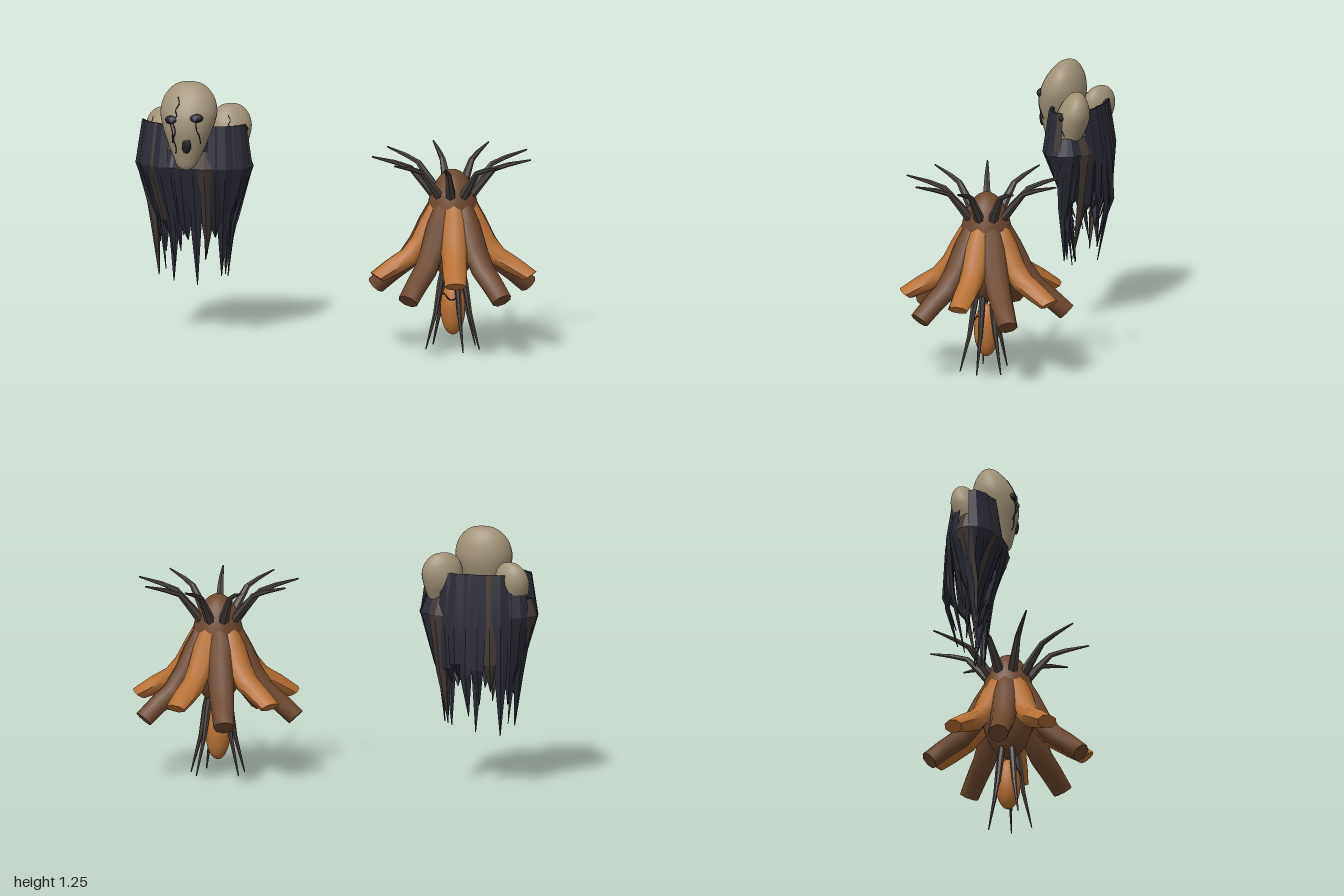
import * as THREE from 'three';
import { mergeVertices, toCreasedNormals } from 'three/addons/utils/BufferGeometryUtils.js';

const material = (name, color) => {
  const m = new THREE.MeshStandardMaterial({ color });
  m.name = name;
  return m;
};
const bone = material('bone', 0xa09278);
const navy = material('dark navy cloth', 0x292a36);
const umber = material('umber cloth', 0x423934);
const black = material('black', 0x1d1d26);
const slate = material('slate', 0x4a4c62);
const orange = material('orange', 0xb87134);
const brown = material('brown', 0x6d482f);
const thorn = material('thorn grey', 0x4b4440);

function addMesh(parent, name, geometry, mat, x = 0, y = 0, z = 0) {
  const mesh = new THREE.Mesh(geometry, mat);
  mesh.name = name;
  mesh.position.set(x, y, z);
  parent.add(mesh);
  return mesh;
}

// Tapered limb in the radial plane: rows of [radius out, height, half width, half depth],
// with an optional direction [r, y] that tilts the end face
function limb(rows, sides, crease, endDir) {
  const pos = [], index = [];
  const end = rows.length - 1;
  rows.forEach(([r, y, w, d], i) => {
    const a = rows[Math.max(i - 1, 0)], b = rows[Math.min(i + 1, end)];
    const dir = i === end && endDir ? endDir : [b[0] - a[0], b[1] - a[1]];
    const t = new THREE.Vector2(...dir).normalize();
    for (let j = 0; j < sides; j++) {
      const q = (j / sides) * Math.PI * 2;
      const c = Math.cos(q) * d;
      pos.push(r - t.y * c, y + t.x * c, Math.sin(q) * w);
    }
  });
  for (let i = 0; i < end; i++) {
    for (let j = 0; j < sides; j++) {
      const a = i * sides + j, b = i * sides + ((j + 1) % sides);
      index.push(a, b, a + sides, b, b + sides, a + sides);
    }
  }
  const last = end * sides;
  for (let j = 1; j < sides - 1; j++) {
    index.push(0, j + 1, j, last, last + j, last + j + 1);
  }
  const g = new THREE.BufferGeometry();
  g.setAttribute('position', new THREE.Float32BufferAttribute(pos, 3));
  g.setIndex(index);
  return toCreasedNormals(g, crease);
}

// Egg-shaped head, chin at y = 0, leaning back and thinning toward the crown
const H = 0.425;
const profile = new THREE.SplineCurve([
  [0, 0], [0.04, 0.015], [0.068, 0.07], [0.098, 0.14], [0.124, 0.21], [0.139, 0.28],
  [0.126, 0.345], [0.094, 0.39], [0.055, 0.416], [0, H],
].map((p) => new THREE.Vector2(...p))).getPoints(36);
profile.forEach((p) => { p.x = Math.max(p.x, 0); });
const lean = (y) => (H - y) * 0.16;
const depth = (y) => 0.88 - 1.3 * Math.max(y - 0.2, 0);

function faceZ(x, y) {
  let i = 1;
  while (i < profile.length - 1 && profile[i].y < y) i++;
  const a = profile[i - 1], b = profile[i];
  const r = THREE.MathUtils.lerp(a.x, b.x, (y - a.y) / (b.y - a.y));
  return depth(y) * Math.sqrt(Math.max(r * r - x * x, 0)) + lean(y);
}

function makeHead(name) {
  const head = new THREE.Group();
  head.name = name;
  let g = new THREE.LatheGeometry(profile, 32);
  const p = g.attributes.position;
  for (let i = 0; i < p.count; i++) p.setZ(i, p.getZ(i) * depth(p.getY(i)) + lean(p.getY(i)));
  g.deleteAttribute('uv');
  g.deleteAttribute('normal');
  g = mergeVertices(g, 1e-5);
  g.computeVertexNormals();
  addMesh(head, 'skull', g, bone);
  const ball = new THREE.SphereGeometry(1, 14, 10);
  for (const [x, y, tilt] of [[-0.054, 0.253, 0.05], [0.06, 0.265, 0.12]]) {
    const z = faceZ(x, y) - 0.01;
    const socket = addMesh(head, 'eyeSocket', ball, black, x, y, z);
    socket.scale.set(0.038, 0.022, 0.021);
    socket.rotation.z = tilt;
    addMesh(head, 'eyeball', ball, slate, x, y, z + 0.012).scale.set(0.014, 0.014, 0.012);
  }
  addMesh(head, 'mouth', new THREE.SphereGeometry(1, 7, 6), black, 0.017, 0.135, faceZ(0.017, 0.135) - 0.004)
    .scale.set(0.026, 0.042, 0.014);
  // Cracks and tear streaks lying on the face
  const cracks = [
    [[-0.035, 0.36], [-0.025, 0.33], [-0.04, 0.3], [-0.03, 0.28], [-0.045, 0.255]],
    [[-0.05, 0.24], [-0.035, 0.2], [-0.048, 0.16], [-0.036, 0.12], [-0.04, 0.09]],
    [[-0.065, 0.24], [-0.05, 0.19], [-0.055, 0.14]],
    [[0.065, 0.25], [0.068, 0.21], [0.078, 0.18], [0.08, 0.14]],
  ];
  for (const c of cracks) {
    const path = new THREE.CatmullRomCurve3(c.map(([x, y]) => new THREE.Vector3(x, y, faceZ(x, y))));
    addMesh(head, 'crack', new THREE.TubeGeometry(path, 16, 0.0028, 5), black);
  }
  return head;
}

function makeGhost() {
  const ghost = new THREE.Group();
  ghost.name = 'threeHeadedGhost';
  const heads = [
    ['mainHead', -0.72, 0.83, 0.07, 1, 0],
    ['leftHead', -0.55, 0.83, -0.04, 0.72, 0.5],
    ['rightHead', -0.88, 0.825, -0.035, 0.65, -0.45],
  ];
  for (const [name, x, y, z, s, yaw] of heads) {
    const head = makeHead(name);
    head.position.set(x, y, z);
    head.scale.setScalar(s);
    head.rotation.y = yaw;
    ghost.add(head);
  }
  // Ragged cloak of flat pointed strips hung around an oval, drawn in toward the tails
  const tips = [0.31, 0.47, 0.3, 0.52, 0.4, 0.55, 0.41, 0.29, 0.5, 0.25, 0.45, 0.35, 0.48];
  const count = 30, rx = 0.27, rz = 0.13;
  const cloak = new THREE.Group();
  cloak.name = 'cloak';
  ghost.add(cloak);
  for (let i = 0; i < count; i++) {
    const a = (i / count) * Math.PI * 2;
    const c = Math.cos(a), s = Math.sin(a);
    const back = Math.max(-s, 0), front = Math.max(s, 0);
    const besideHead = (c > 0.6 && s < 0.05 && s > -0.75) || (c < -0.8 && s < 0.05 && s > -0.5);
    const top = front > 0.9 || besideHead ? 0.92 : 1.045;
    const tip = tips[(i * 5) % tips.length];
    const mid = 0.61 - 0.025 * (i % 3);
    const layer = 0.006 * (i % 2);
    const rows = [
      [-0.018 - layer, top, 0.034, 0.01],
      [0.012 - layer, 0.84, 0.043, 0.012],
      [-0.08 * Math.abs(c) - 0.05 * front + 0.035 * back - layer, mid, 0.03, 0.012],
      [-0.1 * Math.abs(c) - 0.09 * front - 0.02 * back, tip, 0.002, 0.002],
    ];
    const strip = addMesh(cloak, 'cloakStrip', limb(rows, 4, 0.3), i % 5 === 1 ? umber : navy,
      -0.715 + rx * c, 0, 0.01 + rz * s);
    strip.rotation.y = -Math.atan2(s / rz, c / rx);
  }
  return ghost;
}

function makePetalCreature() {
  const body = new THREE.Group();
  body.name = 'petalCreature';
  body.position.x = 0.575;
  const ball = new THREE.SphereGeometry(1, 28, 20);
  addMesh(body, 'core', ball, brown, 0, 0.61, 0).scale.set(0.13, 0.27, 0.13);
  addMesh(body, 'hangingPod', ball, orange, 0, 0.2, 0).scale.set(0.06, 0.13, 0.06);

  const radiate = (name, geometry, mat, angles) => {
    for (const a of angles) addMesh(body, name, geometry, mat).rotation.y = -THREE.MathUtils.degToRad(a);
  };
  const every = (n, start = 0) => Array.from({ length: n }, (_, i) => start + (i * 360) / n);

  // Alternating drooping petals
  radiate('orangePetal', limb([
    [0.055, 0.76, 0.025, 0.02], [0.085, 0.7, 0.048, 0.04], [0.115, 0.63, 0.065, 0.05],
    [0.165, 0.53, 0.065, 0.053], [0.225, 0.465, 0.06, 0.05], [0.31, 0.42, 0.057, 0.045],
    [0.388, 0.376, 0.051, 0.037],
  ], 8, 0.95, [0.6, -0.8]), orange, every(5));
  radiate('brownPetal', limb([
    [0.055, 0.76, 0.025, 0.02], [0.085, 0.7, 0.048, 0.04], [0.12, 0.62, 0.065, 0.05],
    [0.17, 0.51, 0.065, 0.053], [0.235, 0.42, 0.06, 0.05], [0.31, 0.36, 0.055, 0.048],
    [0.386, 0.292, 0.05, 0.046],
  ], 8, 0.95, [0.7, -0.71]), brown, every(5, 36));
  // Crown of bent thorns
  radiate('crownThorn', limb([
    [0.07, 0.73, 0.028, 0.024], [0.13, 0.805, 0.023, 0.02], [0.205, 0.89, 0.015, 0.013],
    [0.28, 0.917, 0.011, 0.011], [0.39, 0.945, 0.004, 0.004],
  ], 6, 0.4), thorn, every(9));
  // Thin legs around the pod
  radiate('leg', limb([
    [0.04, 0.43, 0.014, 0.014], [0.062, 0.32, 0.016, 0.016], [0.085, 0.18, 0.011, 0.011],
    [0.133, 0.002, 0.003, 0.003],
  ], 6, 0.4), thorn, [0, 52, 152, 208, 308]);
  // Thin crack curling round the upper pod
  const arc = [];
  for (let i = 0; i <= 8; i++) {
    const q = 0.4 + i * 0.28, y = 0.262 + 0.014 * Math.cos(i * 0.9);
    const r = 0.06 * Math.sqrt(1 - ((y - 0.2) / 0.13) ** 2) + 0.001;
    arc.push(new THREE.Vector3(Math.cos(q) * r, y, Math.sin(q) * r));
  }
  addMesh(body, 'podCrack', new THREE.TubeGeometry(new THREE.CatmullRomCurve3(arc), 24, 0.003, 5), black);
  return body;
}

export function createModel() {
  const model = new THREE.Group();
  model.name = 'ghostAndPetalCreature';
  model.add(makeGhost(), makePetalCreature());
  return model;
}
